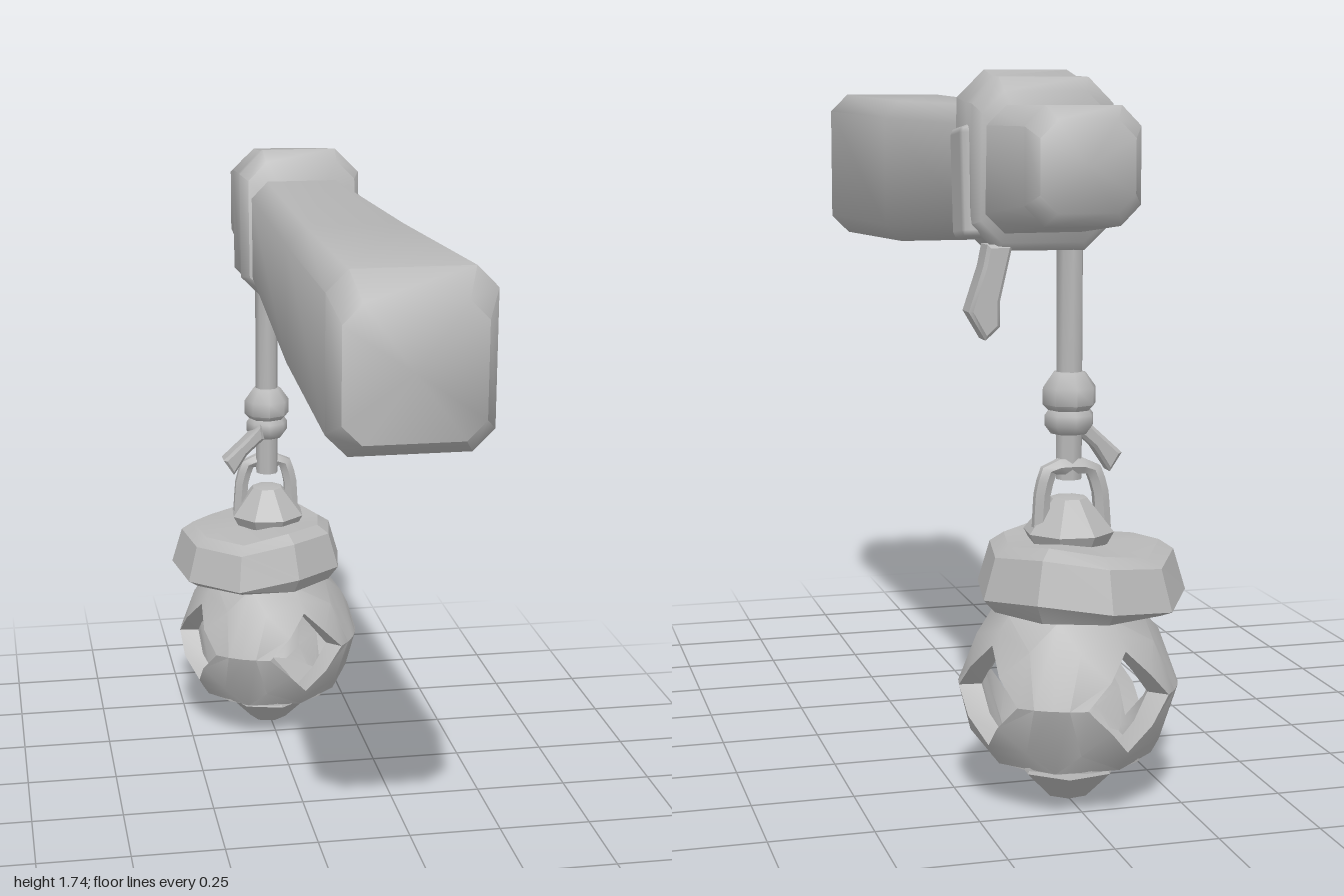
import * as THREE from 'three';
import { toCreasedNormals, mergeVertices } from 'three/addons/utils/BufferGeometryUtils.js';
import { RoundedBoxGeometry } from 'three/addons/geometries/RoundedBoxGeometry.js';

const grey = new THREE.MeshStandardMaterial({ color: 0xb8b8b8 });
grey.name = 'plain grey';
const CX = -0.005, CZ = -0.615; // axis of the hanging lantern

function add(group, name, geometry, crease = 0.6) {
  const mesh = new THREE.Mesh(crease ? toCreasedNormals(geometry, crease) : geometry, grey);
  mesh.name = name;
  group.add(mesh);
  return mesh;
}

function fromTriangles(tris) {
  const g = new THREE.BufferGeometry();
  g.setAttribute('position', new THREE.Float32BufferAttribute(tris.flat(), 3));
  return g;
}

// Rectangle with cut corners, counter-clockwise
function section([z, x0, x1, y0, y1, c]) {
  return [[x0 + c, y0], [x1 - c, y0], [x1, y0 + c], [x1, y1 - c],
    [x1 - c, y1], [x0 + c, y1], [x0, y1 - c], [x0, y0 + c]].map(([x, y]) => [x, y, z]);
}

// Skin over sections ordered from low z to high z, capped at both ends
function loft(rings) {
  const tris = [], n = rings[0].length;
  const middle = (r) => [0, 1, 2].map((k) => r.reduce((s, p) => s + p[k], 0) / n);
  const first = rings[0], last = rings[rings.length - 1];
  for (let i = 0; i < n; i++) {
    const j = (i + 1) % n;
    for (let k = 0; k + 1 < rings.length; k++) {
      const a = rings[k], b = rings[k + 1];
      tris.push(a[i], a[j], b[j], a[i], b[j], b[i]);
    }
    tris.push(middle(first), first[j], first[i], middle(last), last[i], last[j]);
  }
  return fromTriangles(tris);
}

// Few-sided turned part on the lantern axis
function turned(profile, sides, turn = 0) {
  const points = profile.map(([r, y]) => new THREE.Vector2(r, y));
  const g = mergeVertices(new THREE.LatheGeometry(points, sides, turn));
  return g.translate(CX, 0, CZ);
}

// Flat strap end cut from an outline
function strapEnd(outline, z, width) {
  const shape = new THREE.Shape(outline.map(([x, y]) => new THREE.Vector2(x, y)));
  const b = 0.008;
  return new THREE.ExtrudeGeometry(shape, { depth: width - 2 * b, bevelEnabled: true,
    bevelSize: b, bevelThickness: b, bevelOffset: -b, bevelSegments: 1 }).translate(0, 0, z - width / 2 + b);
}

// Radius of the round lantern body at a height
function bodyRadius(y) {
  const t = (y - 0.275) / 0.165;
  return 0.265 - 0.066 * Math.pow(Math.abs(t), 1.8);
}

// Hollow body: four quarter shells, each with a diamond window
function bodyGeometry() {
  const tris = [], wall = 0.055;
  const quad = (a, b, c, d) => tris.push(a, b, c, a, c, d);
  const rim = [[1, 0], [1, 1], [0, 1], [-1, 1], [-1, 0], [-1, -1], [0, -1], [1, -1]];
  const point = (azimuth, y, inset) => {
    const r = bodyRadius(y) - inset;
    return [CX + r * Math.sin(azimuth), y, CZ + r * Math.cos(azimuth)];
  };
  for (let q = 0; q < 4; q++) {
    const centre = THREE.MathUtils.degToRad(20 + 90 * q);
    const ring = (t, inset) => rim.map(([u, v]) => {
      const s = u && v ? 0.5 : 1; // halfway along a diamond edge
      const hu = THREE.MathUtils.lerp(u * s * 0.47, u * Math.PI / 4, t);
      const hv = THREE.MathUtils.lerp(v * s * 0.12, v * (v > 0 ? 0.185 : 0.17), t);
      return point(centre + hu, 0.285 + hv, inset);
    });
    const outer = [0, 0.5, 1].map((t) => ring(t, 0));
    const inner = [0, 0.5, 1].map((t) => ring(t, wall));
    for (let i = 0; i < 8; i++) {
      const j = (i + 1) % 8;
      for (let k = 0; k < 2; k++) {
        quad(outer[k][i], outer[k + 1][i], outer[k + 1][j], outer[k][j]);
        quad(inner[k][j], inner[k + 1][j], inner[k + 1][i], inner[k][i]);
      }
      quad(outer[0][i], outer[0][j], inner[0][j], inner[0][i]);
    }
  }
  return fromTriangles(tris);
}

export function createModel() {
  const model = new THREE.Group();
  model.name = 'hangingLantern';

  // Tapered wooden beam: z, x range, y range, corner cut
  add(model, 'beam', loft([
    [-1, -0.035, 0.18, 1.43, 1.63, 0.04],
    [-0.965, -0.058, 0.205, 1.4, 1.66, 0.045],
    [-0.5, -0.065, 0.212, 1.35, 1.657, 0.045],
    [0.3, -0.092, 0.24, 1.285, 1.665, 0.045],
    [0.94, -0.11, 0.268, 1.27, 1.682, 0.05],
    [1, -0.085, 0.235, 1.31, 1.62, 0.045],
  ].map(section)), 0.95);

  // Strap wrapped round the beam, leaning slightly
  const lean = ([x, y, z]) => [x, y, z - 0.06 * (y - 1.53) + 0.1 * (x - 0.08) * (z < -0.56 ? 1 : 0)];
  add(model, 'beamStrap', loft([
    [-0.675, -0.07, 0.22, 1.345, 1.69, 0.05],
    [-0.65, -0.09, 0.238, 1.325, 1.722, 0.06],
    [-0.57, -0.085, 0.232, 1.335, 1.725, 0.06],
    [-0.49, -0.095, 0.238, 1.325, 1.74, 0.065],
    [-0.46, -0.075, 0.222, 1.345, 1.71, 0.05],
  ].map((s) => section(s).map(lean))), 0.95);
  const overlap = add(model, 'strapOverlap', new RoundedBoxGeometry(0.06, 0.26, 0.12, 1, 0.018), 0);
  overlap.position.set(0.225, 1.48, -0.56);
  overlap.rotation.x = 0.1;
  add(model, 'strapTail', strapEnd(
    [[0.14, 1.34], [0.17, 1.21], [0.17, 1.15], [0.205, 1.118], [0.245, 1.185], [0.21, 1.29], [0.2, 1.34]],
    -0.608, 0.075));

  // Rope with its knot and loose end
  add(model, 'rope', new THREE.CylinderGeometry(0.032, 0.032, 0.55, 8).translate(CX, 1.055, CZ), 0.9);
  add(model, 'knotTop', turned([[0, 1.045], [0.04, 1.035], [0.065, 1], [0.065, 0.96], [0.045, 0.94], [0, 0.94]].reverse(), 8), 1);
  add(model, 'knotRing', turned([[0, 0.885], [0.045, 0.89], [0.06, 0.91], [0.06, 0.935], [0.045, 0.955], [0, 0.955]], 8), 1);
  add(model, 'knotTail', strapEnd(
    [[-0.03, 0.94], [-0.075, 0.895], [-0.14, 0.835], [-0.11, 0.79], [-0.07, 0.85], [-0.02, 0.895]],
    -0.585, 0.06));

  // Metal loop hooked by the rope
  const arch = new THREE.CatmullRomCurve3([[-0.08, 0.66], [-0.073, 0.75], [-0.05, 0.81], [0.05, 0.81], [0.07, 0.75], [0.075, 0.66]]
    .map(([x, y]) => new THREE.Vector3(CX + x, y, CZ - 0.015)), false, 'catmullrom', 0.2);
  add(model, 'hangingLoop', new THREE.TubeGeometry(arch, 14, 0.021, 6), 0.9);

  // Cone, lid and foot of the lantern
  add(model, 'topCone', turned([[0, 0.6], [0.08, 0.6], [0.11, 0.655], [0.045, 0.735], [0, 0.742]], 8, 0.3), 0.5);
  const lid = turned([[0, 0.47], [0.225, 0.475], [0.255, 0.505], [0.225, 0.605], [0.19, 0.628], [0, 0.632]], 9, 0.35);
  const p = lid.attributes.position;
  for (let i = 0; i < p.count; i++) { // uneven, tilted rim
    const a = Math.atan2(p.getX(i) - CX, p.getZ(i) - CZ);
    const edge = Math.hypot(p.getX(i) - CX, p.getZ(i) - CZ) > 0.1 ? 1 : 0;
    if (p.getY(i) > 0.49) p.setY(i, p.getY(i) + edge * (0.012 * Math.sin(a * 3) + 0.012 * Math.sin(a)));
    p.setX(i, p.getX(i) - 0.03);
  }
  add(model, 'lid', lid, 0.4);
  add(model, 'lanternBody', bodyGeometry(), 0.6);
  add(model, 'bodyFloor', turned([[0, 0.112], [0.19, 0.112], [0.19, 0.13], [0, 0.13]], 16), 0.5);
  add(model, 'foot', turned([[0, 0], [0.055, 0.006], [0.125, 0.075], [0.115, 0.1], [0.09, 0.115], [0, 0.115]], 7, 0.2), 0.5);
  return model;
}
